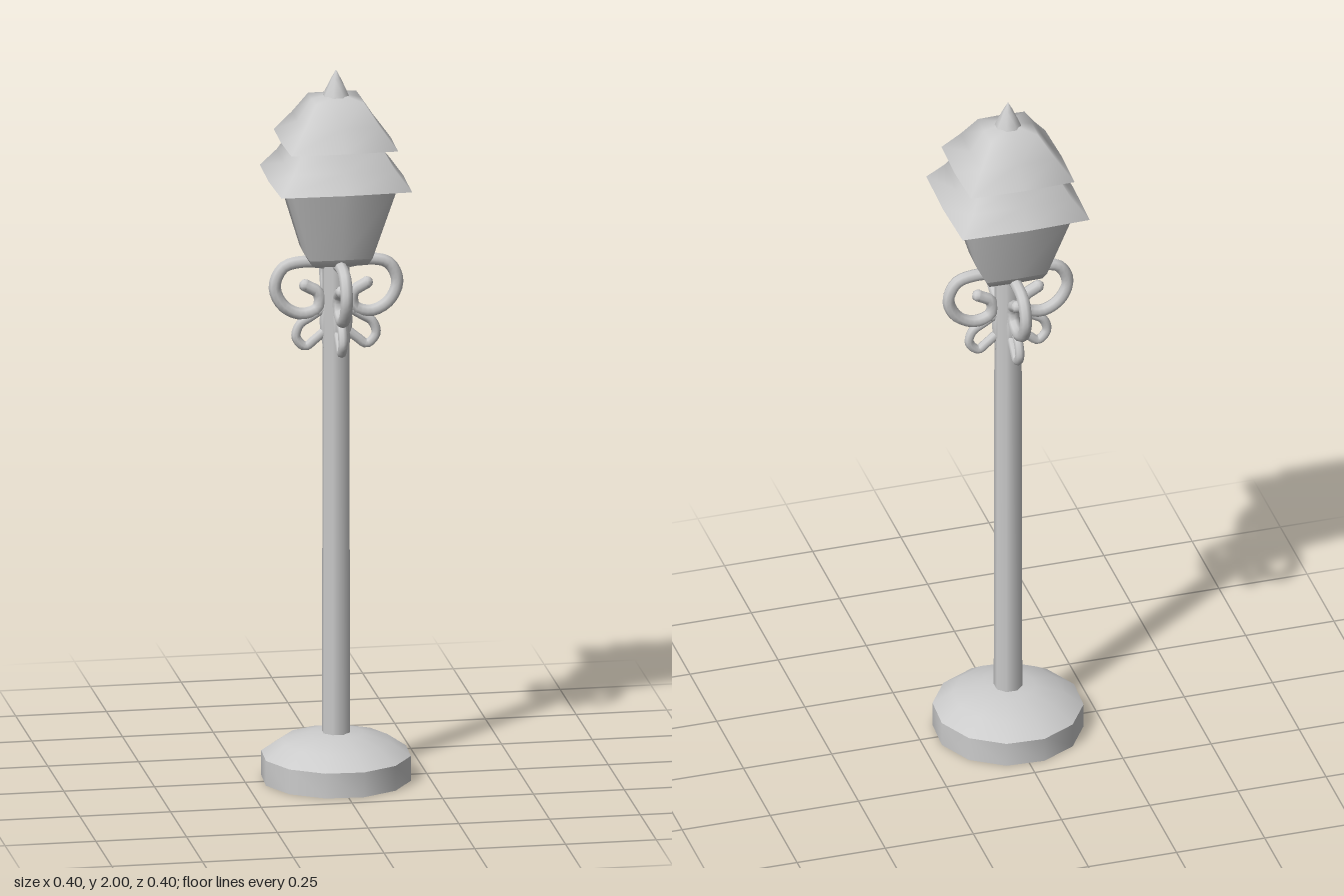
import * as THREE from 'three';
import { toCreasedNormals } from 'three/addons/utils/BufferGeometryUtils.js';

const material = new THREE.MeshStandardMaterial({ color: 0xcccccc, side: THREE.DoubleSide });

function add(parent, name, geometry) {
  const mesh = new THREE.Mesh(geometry, material);
  mesh.name = name;
  parent.add(mesh);
  return mesh;
}

// Profile of [radius, y], listed bottom to top, spun round the y axis
function lathe(profile, sides, phase = 0) {
  const points = profile.map(([r, y]) => new THREE.Vector2(r, y));
  return new THREE.LatheGeometry(points, sides, phase);
}

// Slightly bowed rectangular rings [half width, half depth, y], bottom to top
function squareLoft(rings) {
  const outline = [[1, 1], [0, 1.035], [-1, 1], [-1.03, 0], [-1, -1], [0, -1.035], [1, -1], [1.03, 0]];
  const n = outline.length;
  const positions = [], index = [];
  for (const [w, d, y] of rings) {
    for (const [x, z] of outline) positions.push(x * w, y, z * d);
  }
  for (let r = 0; r < rings.length - 1; r++) {
    for (let i = 0; i < n; i++) {
      const a = r * n + i, b = r * n + (i + 1) % n;
      index.push(a, a + n, b, b, a + n, b + n);
    }
  }
  const geometry = new THREE.BufferGeometry();
  geometry.setAttribute('position', new THREE.Float32BufferAttribute(positions, 3));
  geometry.setIndex(index);
  geometry.computeVertexNormals();
  return geometry;
}

// Round bar following [x, y] points, with rounded ends
function scroll(parent, name, points, radius) {
  const path = new THREE.CatmullRomCurve3(points.map(([x, y]) => new THREE.Vector3(x, y, 0)));
  add(parent, name, new THREE.TubeGeometry(path, 28, radius, 8));
  for (const [x, y] of [points[0], points[points.length - 1]]) {
    add(parent, name + 'End', new THREE.SphereGeometry(radius, 8, 6)).position.set(x, y, 0);
  }
}

export function createModel() {
  const lamp = new THREE.Group();
  lamp.name = 'streetLamp';

  // Hollow domed foot, open underneath
  const foot = lathe([[0.205, 0], [0.205, 0.07], [0.15, 0.108], [0.075, 0.128], [0.03, 0.132]], 12, Math.PI / 15);
  add(lamp, 'base', toCreasedNormals(foot, 0.75));

  // Post
  add(lamp, 'post', lathe([[0.039, 0.11], [0.037, 1.47]], 8, Math.PI / 8));

  // Four scrolled brackets round the post
  for (let i = 0; i < 4; i++) {
    const bracket = new THREE.Group();
    bracket.name = 'bracket';
    bracket.rotation.y = i * Math.PI / 2;
    scroll(bracket, 'upperScroll', [
      [0.02, 1.455], [0.09, 1.462], [0.145, 1.448], [0.169, 1.395], [0.145, 1.34],
      [0.095, 1.315], [0.05, 1.33], [0.047, 1.37], [0.085, 1.395],
    ], 0.017);
    scroll(bracket, 'lowerScroll', [
      [0.03, 1.33], [0.07, 1.305], [0.1, 1.285], [0.11, 1.25],
      [0.085, 1.223], [0.06, 1.24], [0.03, 1.265],
    ], 0.013);
    scroll(bracket, 'footOfScroll', [[0.02, 1.37], [0.028, 1.29], [0.02, 1.222]], 0.017);
    lamp.add(bracket);
  }

  // Tapered lantern with a closed floor
  add(lamp, 'lanternFloor', squareLoft([[0.001, 0.001, 1.455], [0.075, 0.073, 1.465], [0.086, 0.083, 1.485]]));
  add(lamp, 'lanternBody', squareLoft([[0.086, 0.083, 1.485], [0.145, 0.138, 1.695]]));

  // Two tiers of flared roof
  add(lamp, 'lowerRoofUnderside', squareLoft([[0.18, 0.17, 1.692], [0.12, 0.115, 1.705]]));
  add(lamp, 'lowerRoof', squareLoft([[0.18, 0.17, 1.692], [0.14, 0.133, 1.745], [0.11, 0.105, 1.8]]));
  add(lamp, 'upperRoofUnderside', squareLoft([[0.147, 0.138, 1.8], [0.1, 0.095, 1.81]]));
  add(lamp, 'upperRoof', squareLoft([
    [0.147, 0.138, 1.8], [0.104, 0.098, 1.86], [0.066, 0.063, 1.92], [0.02, 0.02, 1.93],
  ]));

  // Pointed finial
  add(lamp, 'finial', lathe([[0.04, 1.918], [0.031, 1.94], [0.014, 1.975], [0, 2]], 8, Math.PI / 8));

  return lamp;
}
